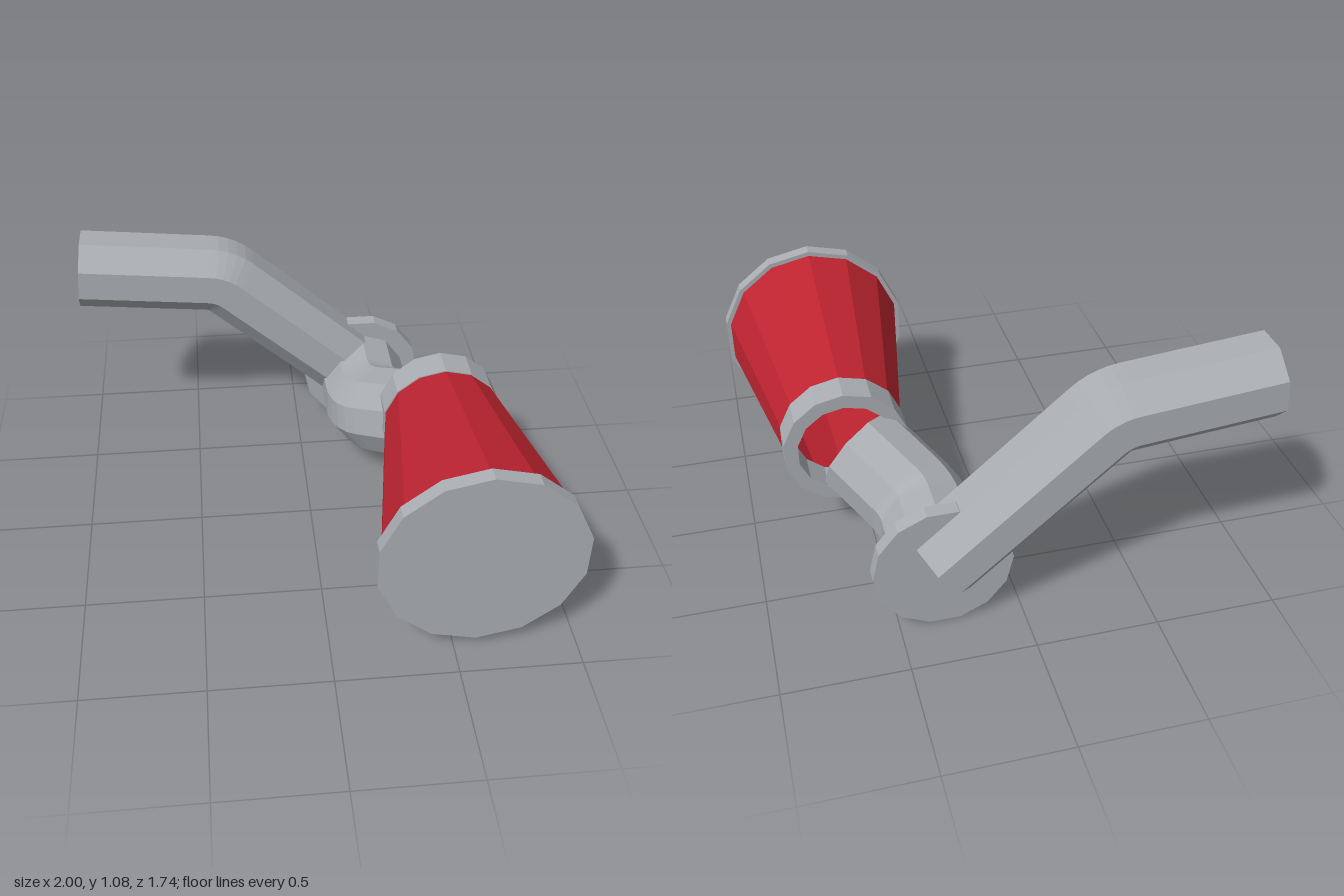
import * as THREE from 'three';

const V = (x, y, z) => new THREE.Vector3(x, y, z);

// Give every face its own flat normal
function faceted(geometry) {
  const g = geometry.index ? geometry.toNonIndexed() : geometry;
  g.computeVertexNormals();
  return g;
}

// Turned part along z: profile of [radius, z], running back to front on the outside
function turned(profile, turn = 0) {
  const pts = profile.map(([r, z]) => new THREE.Vector2(r, z));
  return faceted(new THREE.LatheGeometry(pts, 14).rotateX(Math.PI / 2).rotateZ(turn));
}

// Capped polygonal pipe a-b-c with a rounded bend at b
function bentPipe(a, b, c, bend, radius, sides, up, turn) {
  const d0 = b.clone().sub(a).normalize();
  const d1 = c.clone().sub(b).normalize();
  const start = b.clone().addScaledVector(d0, -bend);
  const end = b.clone().addScaledVector(d1, bend);
  const curve = new THREE.QuadraticBezierCurve3(start, b, end);
  const stations = [[a, d0]];
  const steps = 5;
  for (let i = 0; i <= steps; i++) stations.push([curve.getPoint(i / steps), curve.getTangent(i / steps)]);
  stations.push([c, d1]);

  const side = up.clone().cross(d0).normalize();
  const top = d0.clone().cross(side);
  const pos = [];
  for (const [p, t] of stations) {
    const q = new THREE.Quaternion().setFromUnitVectors(d0, t);
    for (let j = 0; j < sides; j++) {
      const w = turn + (j / sides) * Math.PI * 2;
      const v = side.clone().multiplyScalar(Math.cos(w) * radius).addScaledVector(top, Math.sin(w) * radius);
      v.applyQuaternion(q).add(p);
      pos.push(v.x, v.y, v.z);
    }
  }
  const index = [];
  const last = (stations.length - 1) * sides;
  for (let i = 0; i < stations.length - 1; i++) {
    for (let j = 0; j < sides; j++) {
      const k = (j + 1) % sides;
      const p = i * sides + j, q = i * sides + k;
      index.push(p, q, q + sides, p, q + sides, p + sides);
    }
  }
  for (let j = 1; j < sides - 1; j++) {
    index.push(0, j + 1, j);
    index.push(last, last + j, last + j + 1);
  }
  const g = new THREE.BufferGeometry();
  g.setAttribute('position', new THREE.Float32BufferAttribute(pos, 3));
  g.setIndex(index);
  return faceted(g);
}

export function createModel() {
  const model = new THREE.Group();
  model.name = 'hornOnBentPipe';

  const grey = new THREE.MeshStandardMaterial({ color: 0xaaaeb3 });
  grey.name = 'greyMetal';
  const red = new THREE.MeshStandardMaterial({ color: 0xbe2430, side: THREE.DoubleSide });
  red.name = 'redPaint';

  const add = (name, geometry, material, x = 0, y = 0) => {
    const m = new THREE.Mesh(geometry, material);
    m.name = name;
    m.position.set(x, y, 0);
    model.add(m);
  };

  // Horn: hollow red cone, front plate and rear collar
  const hx = 0.587, hy = 0.464;
  add('hornCone', turned([[0.259, -0.035], [0.402, 0.81]]), red, hx, hy);
  add('frontPlate', turned([[0, 0.805], [0.421, 0.805], [0.421, 0.867], [0, 0.867]]), grey, hx, hy);
  add('rearCollar', turned([[0.205, -0.17], [0.264, -0.17], [0.264, -0.033], [0.205, -0.033], [0.205, -0.17]]), grey, hx, hy);

  // Flange where the two pipes meet
  const fx = 0.316, fy = 0.274;
  add('flange', turned([[0, -0.775], [0.28, -0.775], [0.28, -0.712], [0, -0.712]], Math.PI / 14), grey, fx, fy);

  // Ten-sided elbow from the flange into the collar
  add('elbowPipe', bentPipe(V(fx, fy, -0.73), V(fx, fy, -0.4), V(0.525, 0.425, -0.13),
    0.11, 0.205, 10, V(0, 1, 0), Math.PI / 2), grey);

  // Eight-sided arm running out to the side
  add('sideArm', bentPipe(V(-0.985, 0.925, -0.712), V(-0.35, 0.864, -0.712), V(fx, fy, -0.712),
    0.06, 0.172, 8, V(0, 1, 0), Math.PI / 8), grey);

  return model;
}
